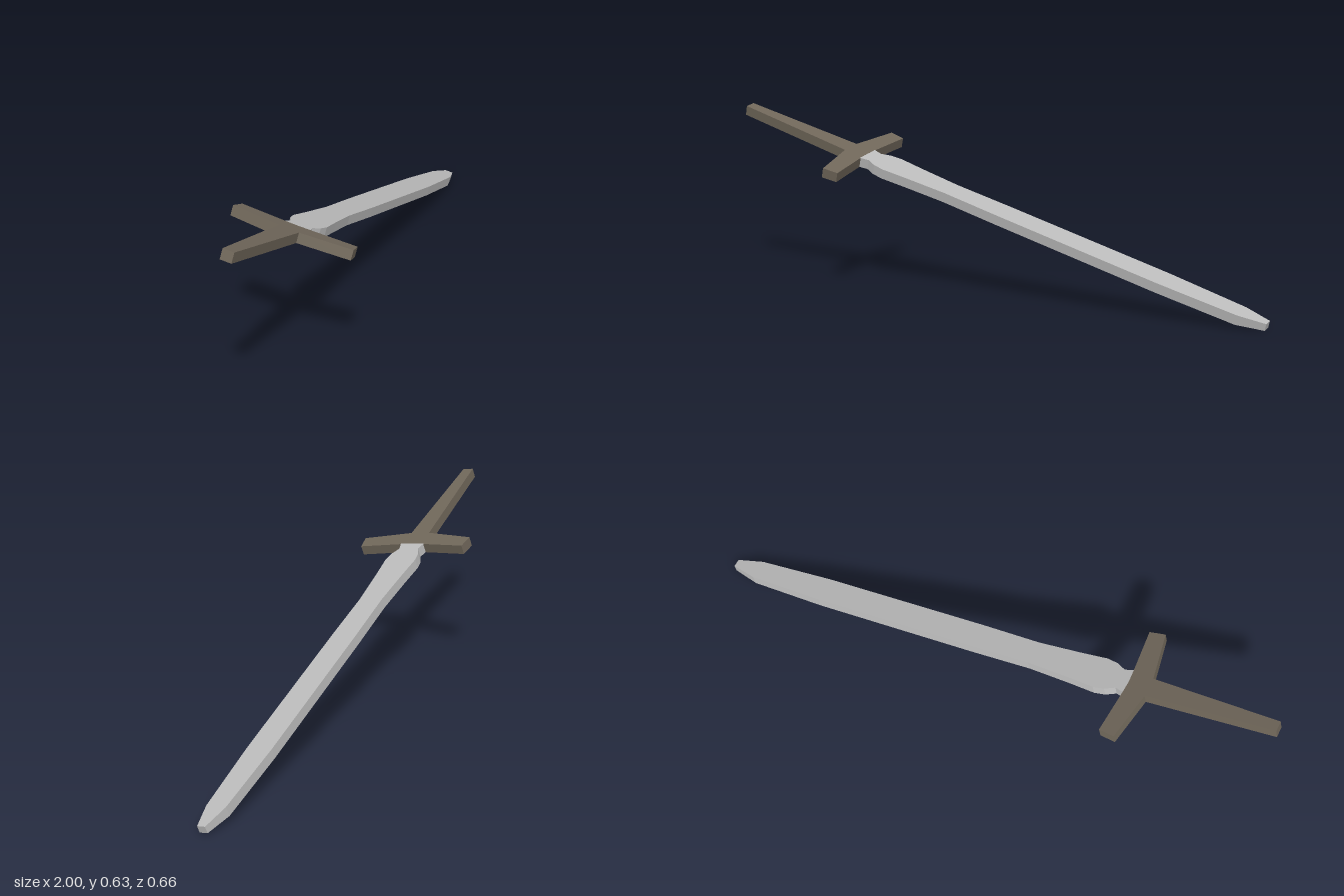
import * as THREE from 'three';

const THICKNESS = 0.036;

// Flat slab from half an outline: [distance along sword, half width], mirrored across the axis
function slab(name, half, material) {
  const points = [
    ...half.map(([s, t]) => new THREE.Vector2(s, -t)),
    ...half.slice().reverse().filter(([, t]) => t > 0).map(([s, t]) => new THREE.Vector2(s, t)),
  ];
  const geometry = new THREE.ExtrudeGeometry(new THREE.Shape(points), {
    depth: THICKNESS, bevelEnabled: false,
  });
  geometry.translate(0, 0, -THICKNESS);
  const mesh = new THREE.Mesh(geometry, material);
  mesh.name = name;
  return mesh;
}

export function createModel() {
  const steel = new THREE.MeshStandardMaterial({ color: 0xbababa, flatShading: true });
  steel.name = 'steel';
  const leather = new THREE.MeshStandardMaterial({ color: 0x6f6659, flatShading: true });
  leather.name = 'brown hilt';

  const sword = new THREE.Group();
  sword.name = 'sword';

  // Grip, widening toward the guard
  const grip = slab('grip', [[0, 0.02], [0.463, 0.037]], leather);

  // Cross guard, arms swept slightly toward the blade
  const guard = slab('crossGuard', [
    [0.463, 0], [0.463, 0.037], [0.496, 0.219], [0.553, 0.211], [0.54, 0.05], [0.537, 0],
  ], leather);

  // Blade with a flared base and a blunt point
  const blade = slab('blade', [
    [0.537, 0.048], [0.57, 0.039], [0.605, 0.056], [0.645, 0.062], [0.745, 0.054],
    [0.9, 0.045], [1.12, 0.048], [1.755, 0.048], [2.046, 0.0375], [2.143, 0.015],
  ], steel);

  // Thin the blade at its very tip
  const pos = blade.geometry.attributes.position;
  for (let i = 0; i < pos.count; i++) {
    if (pos.getX(i) > 2.1 && pos.getZ(i) < -0.01) pos.setZ(i, -0.026);
  }
  blade.geometry.computeVertexNormals();

  sword.add(grip, guard, blade);

  // Lean the sword: along its length, across its guard, and out of its flat face
  const along = new THREE.Vector3(0.9247, -0.2781, -0.2599).normalize();
  const face = along.clone().cross(new THREE.Vector3(-0.218, 0.174, -0.96)).normalize();
  const across = face.clone().cross(along);
  sword.quaternion.setFromRotationMatrix(new THREE.Matrix4().makeBasis(along, across, face));
  sword.position.set(-0.99, 0.6235, 0.243);

  const model = new THREE.Group();
  model.name = 'leaningSword';
  model.add(sword);
  return model;
}
